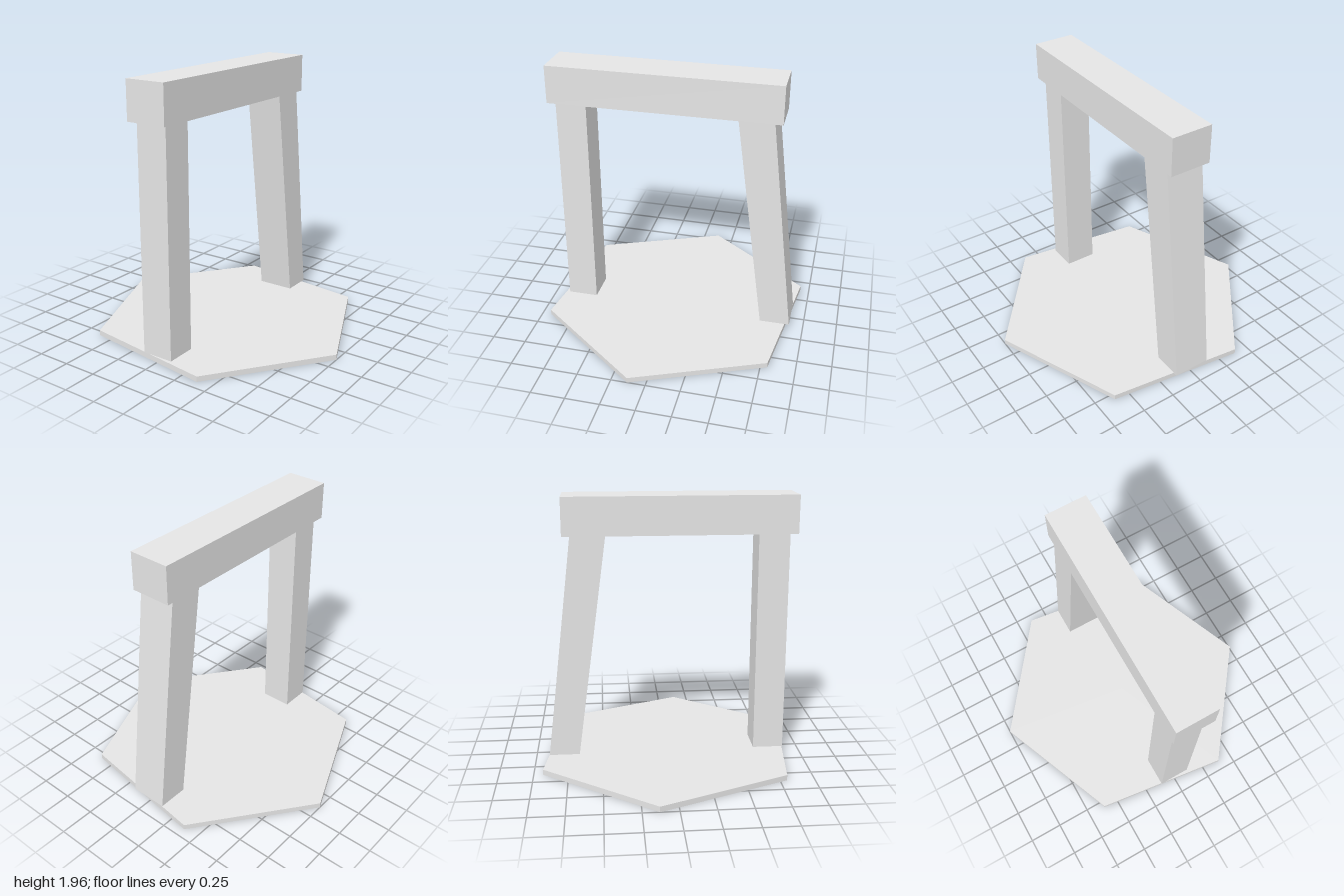
import * as THREE from 'three';

const stone = new THREE.MeshStandardMaterial({ color: 0xe5e5e5, side: THREE.DoubleSide });
stone.name = 'pale grey';

const BASE_TOP = 0.04, BEAM_BOTTOM = 1.684, BEAM_TOP = 1.962;

function part(name, geometry) {
  const mesh = new THREE.Mesh(geometry, stone);
  mesh.name = name;
  return mesh;
}

// Leave out a run of indices, to open a face of a closed geometry
function removeFaces(geometry, start, count) {
  const index = Array.from(geometry.index.array);
  index.splice(start, count);
  geometry.setIndex(index);
  geometry.clearGroups();
}

// Four-sided post, open at both ends, with its own x range at foot and head
function post(name, foot, head, depth) {
  const geometry = new THREE.BoxGeometry(1, BEAM_BOTTOM - BASE_TOP, depth);
  removeFaces(geometry, 12, 12);
  geometry.translate(0, (BEAM_BOTTOM + BASE_TOP) / 2, 0);
  const p = geometry.attributes.position;
  for (let i = 0; i < p.count; i++) {
    const range = p.getY(i) > 1 ? head : foot;
    p.setX(i, range[p.getX(i) > 0 ? 1 : 0]);
  }
  geometry.computeVertexNormals();
  return part(name, geometry);
}

export function createModel() {
  const group = new THREE.Group();
  group.name = 'archway';

  // Thin hexagonal base, turned slightly and open underneath
  const turn = THREE.MathUtils.degToRad(-7.5);
  const radius = 1 / Math.cos(turn);
  const hexagon = new THREE.CylinderGeometry(radius, radius, BASE_TOP, 6, 1, false, turn);
  removeFaces(hexagon, hexagon.index.count - 18, 18);
  const flatHexagon = hexagon.toNonIndexed();
  flatHexagon.computeVertexNormals();
  const base = part('base', flatHexagon);
  base.position.y = BASE_TOP / 2;
  group.add(base);

  // Upright post, and a deeper leaning post that narrows towards its foot
  group.add(post('uprightPost', [-0.87, -0.645], [-0.87, -0.645], 0.238));
  group.add(post('leaningPost', [0.674, 0.897], [0.45, 0.7], 0.28));

  // Crossbeam
  const beam = part('crossbeam', new THREE.BoxGeometry(1.679, BEAM_TOP - BEAM_BOTTOM, 0.306));
  beam.position.set(-0.0835, (BEAM_TOP + BEAM_BOTTOM) / 2, 0);
  group.add(beam);

  return group;
}
